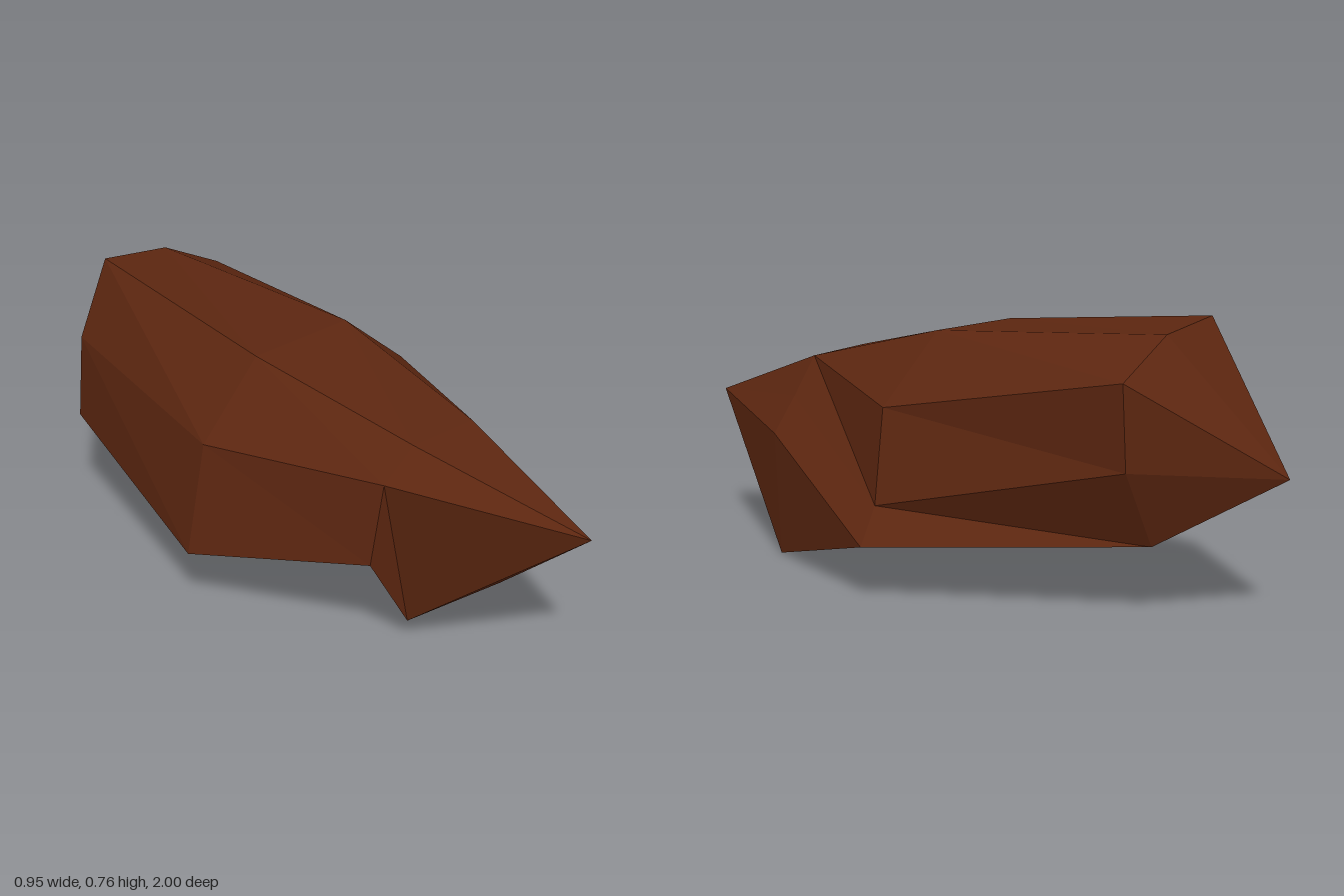
import * as THREE from 'three';

// Cross-sections run from the lower -x rim, over the top, to the lower +x rim.
// The front section repeats one point where its seven corners meet eight below.
const FRONT = [[-0.32, 0.27, 0.52], [-0.295, 0.5, 0.54], [-0.195, 0.58, 0.55], [0.04, 0.57, 0.55],
  [0.04, 0.57, 0.55], [0.13, 0.46, 0.55], [0.22, 0.36, 0.55], [0.21, 0, 0.54]];
const MIDDLE = [[-0.48, 0.165, 0], [-0.43, 0.485, 0.02], [-0.25, 0.69, 0.04], [0.1, 0.69, 0.04],
  [0.34, 0.505, 0.04], [0.39, 0.245, 0.03], [0.475, 0.15, 0.01]];
const BACK = [[-0.28, 0.29, -0.69], [-0.265, 0.54, -0.68], [-0.16, 0.757, -0.68], [0.075, 0.73, -0.68],
  [0.285, 0.63, -0.68], [0.265, 0.4, -0.68], [0.15, 0.19, -0.69]];
const FRONT_CHIN = [-0.19, 0.055, 0.54];
const BACK_CHIN = [-0.17, 0.213, -0.69];
const FRONT_TIP = [-0.04, 0.418, 1];
const BACK_TIP = [0, 0.38, -1];

// Triangles that join two sections, the nearer one first
function strip(near, far) {
  const tris = [];
  for (let i = 0; i < near.length - 1; i++) {
    tris.push([near[i], near[i + 1], far[i + 1]], [near[i], far[i + 1], far[i]]);
  }
  return tris;
}

// Triangles from a tip to every side of a closed loop
function fan(tip, loop) {
  return loop.map((p, i) => [tip, p, loop[(i + 1) % loop.length]]);
}

function samePoint(a, b) {
  return a.every((v, i) => v === b[i]);
}

function facetMesh(name, tris, material) {
  const solid = tris.filter(([a, b, c]) => !samePoint(a, b) && !samePoint(b, c) && !samePoint(a, c));
  const geometry = new THREE.BufferGeometry();
  geometry.setAttribute('position', new THREE.Float32BufferAttribute(solid.flat(2), 3));
  geometry.computeVertexNormals();
  const mesh = new THREE.Mesh(geometry, material);
  mesh.name = name;
  return mesh;
}

export function createModel() {
  const group = new THREE.Group();
  group.name = 'facetedShell';
  const brown = new THREE.MeshStandardMaterial({ color: 0x5c2610, side: THREE.DoubleSide, flatShading: true });
  brown.name = 'reddish brown';

  // Open-bottomed body, with the last middle corner shared by two front corners
  const middleForFront = [...MIDDLE, MIDDLE[6]];
  group.add(facetMesh('frontBody', strip(FRONT, middleForFront), brown));
  group.add(facetMesh('backBody', strip(MIDDLE, BACK), brown));

  // Pointed ends; the front one has an extra cheek facet on the -x side
  const frontLoop = [...FRONT.slice(1), FRONT_CHIN].reverse();
  const cheek = [FRONT[1], FRONT[0], FRONT_CHIN];
  group.add(facetMesh('frontPoint', [...fan(FRONT_TIP, frontLoop), cheek], brown));
  group.add(facetMesh('backPoint', fan(BACK_TIP, [...BACK, BACK_CHIN]), brown));
  return group;
}
